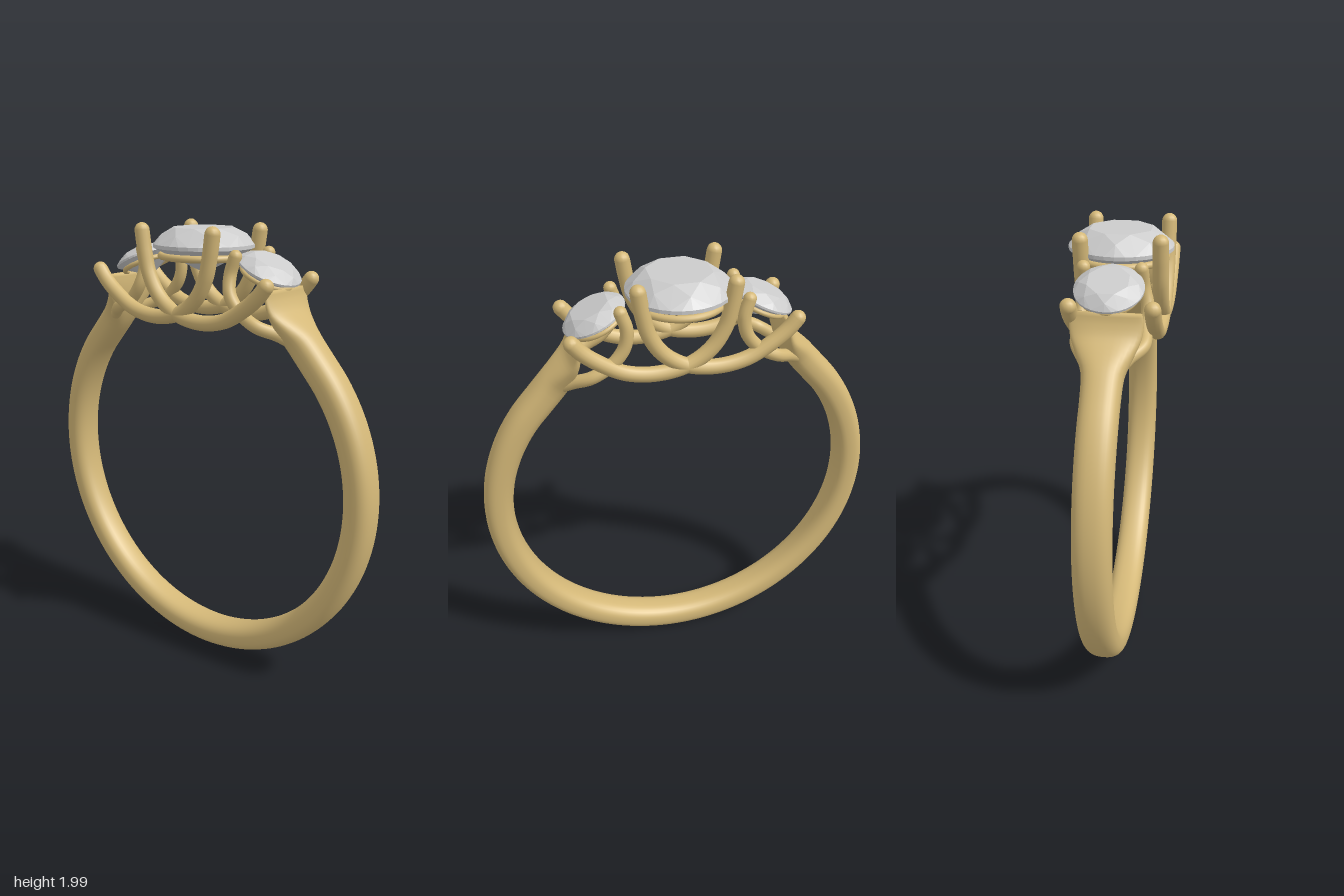
import * as THREE from 'three';
import { ConvexGeometry } from 'three/addons/geometries/ConvexGeometry.js';

const gold = new THREE.MeshStandardMaterial({ color: 0xd4b878 });
const stone = new THREE.MeshStandardMaterial({ color: 0xcccccc, flatShading: true });
const V = (x, y, z) => new THREE.Vector3(x, y, z);

function add(parent, name, geometry, material) {
  const mesh = new THREE.Mesh(geometry, material);
  mesh.name = name;
  parent.add(mesh);
  return mesh;
}

// Round wire along points, with rounded tips
function wire(parent, name, points, radius) {
  const group = new THREE.Group();
  group.name = name;
  const curve = new THREE.CatmullRomCurve3(points);
  add(group, name + 'Wire', new THREE.TubeGeometry(curve, 56, radius, 14), gold);
  for (const p of [points[0], points[points.length - 1]]) {
    add(group, name + 'Tip', new THREE.SphereGeometry(radius, 14, 10), gold).position.copy(p);
  }
  parent.add(group);
}

// Round brilliant: table, crown, girdle, pavilion and culet
function gemGeometry(r, crown, depth) {
  const points = [V(0, -depth, 0)];
  const ring = (n, radius, y, turn) => {
    for (let i = 0; i < n; i++) {
      const a = ((i + turn) / n) * Math.PI * 2;
      points.push(V(radius * Math.cos(a), y, radius * Math.sin(a)));
    }
  };
  ring(8, r * 0.62, crown, 0.5);
  ring(8, r * 0.84, crown * 0.62, 0);
  ring(32, r, crown * 0.1, 0);
  ring(32, r, -crown * 0.1, 0);
  ring(8, r * 0.3, -depth * 0.74, 0.5);
  return new ConvexGeometry(points);
}

// Stone with its gold seat ring
function setting(parent, name, r, crown, depth, seatR, seatY, seatTube) {
  const group = new THREE.Group();
  group.name = name;
  add(group, name + 'Stone', gemGeometry(r, crown, depth), stone);
  const seat = add(group, name + 'Seat', new THREE.TorusGeometry(seatR, seatTube, 12, 48), gold);
  seat.rotation.x = Math.PI / 2;
  seat.position.y = seatY;
  parent.add(group);
  return group;
}

// Shank: rounded section swept round the finger, flaring to thin shoulders
function shankGeometry() {
  const shoulder = [ // z, y, half width, half thickness
    [0.428, 1.762, 0.135, 0.012],
    [0.432, 1.72, 0.142, 0.018],
    [0.448, 1.665, 0.135, 0.03],
    [0.485, 1.605, 0.108, 0.05],
    [0.53, 1.548, 0.082, 0.062],
  ];
  const rows = shoulder.slice();
  for (let deg = 46; deg <= 314; deg += 6.7) {
    const a = (deg * Math.PI) / 180;
    rows.push([0.826 * Math.sin(a), 0.9 + 0.826 * Math.cos(a), 0.077, 0.064]);
  }
  shoulder.reverse().forEach(([z, y, w, t]) => rows.push([-z, y, w, t]));

  const spine = new THREE.CatmullRomCurve3(rows.map(([z, y]) => V(0, y, z)));
  const size = new THREE.CatmullRomCurve3(rows.map(([, , w, t], i) => V(w, t, i * 0.05)));
  const steps = 150, sides = 32, pos = [], index = [];
  const round = (c) => Math.sign(c) * Math.pow(Math.abs(c), 0.82);
  for (let i = 0; i <= steps; i++) {
    const p = spine.getPoint(i / steps), t = spine.getTangent(i / steps), s = size.getPoint(i / steps);
    for (let j = 0; j < sides; j++) {
      const a = (j / sides) * Math.PI * 2;
      const n = s.y * round(Math.sin(a));
      pos.push(s.x * round(Math.cos(a)) - 0.002, p.y + t.z * n, p.z - t.y * n);
      if (i < steps) {
        const k = (j + 1) % sides, b = i * sides, c = b + sides;
        index.push(b + j, b + k, c + j, b + k, c + k, c + j);
      }
    }
  }
  // End caps
  const last = steps * sides;
  for (let j = 1; j < sides - 1; j++) {
    index.push(0, j + 1, j, last, last + j, last + j + 1);
  }
  const geometry = new THREE.BufferGeometry();
  geometry.setAttribute('position', new THREE.Float32BufferAttribute(pos, 3));
  geometry.setIndex(index);
  geometry.computeVertexNormals();
  return geometry;
}

export function createModel() {
  const ring = new THREE.Group();
  ring.name = 'threeStoneRing';
  add(ring, 'shank', shankGeometry(), gold);

  // Crossing prong wires: centre prong on one end, outer side prong on the other
  const sweep = [
    [0.192, 1.968], [0.178, 1.88], [0.155, 1.79], [0.1, 1.7], [0.01, 1.637],
    [-0.12, 1.612], [-0.25, 1.632], [-0.36, 1.695], [-0.42, 1.745], [-0.455, 1.787],
  ];
  for (const end of [1, -1]) {
    for (const x of [-0.178, 0.137]) {
      wire(ring, 'crossingProng', sweep.map(([z, y]) => V(x, y, z * end)), 0.032);
    }
    // Inner side-stone prongs running down into the shoulders
    for (const side of [-1, 1]) {
      const lowX = side < 0 ? -0.138 : 0.122;
      wire(ring, 'innerProng', [
        V(side * 0.113, 1.882, 0.257 * end), V(side * 0.12, 1.81, 0.237 * end),
        V(lowX, 1.735, 0.25 * end), V(lowX, 1.665, 0.305 * end),
        V(lowX, 1.62, 0.385 * end), V(side * 0.085, 1.588, 0.455 * end),
        V(side * 0.05, 1.555, 0.51 * end),
      ], 0.027);
    }
    // Side stones tilt outwards
    const side = setting(ring, 'sideSetting', 0.136, 0.042, 0.08, 0.108, -0.028, 0.011);
    side.position.set(0, 1.828, 0.345 * end);
    side.rotation.x = 0.42 * end;
  }

  const centre = setting(ring, 'centreSetting', 0.217, 0.075, 0.115, 0.184, -0.042, 0.015);
  centre.position.y = 1.905;
  return ring;
}
